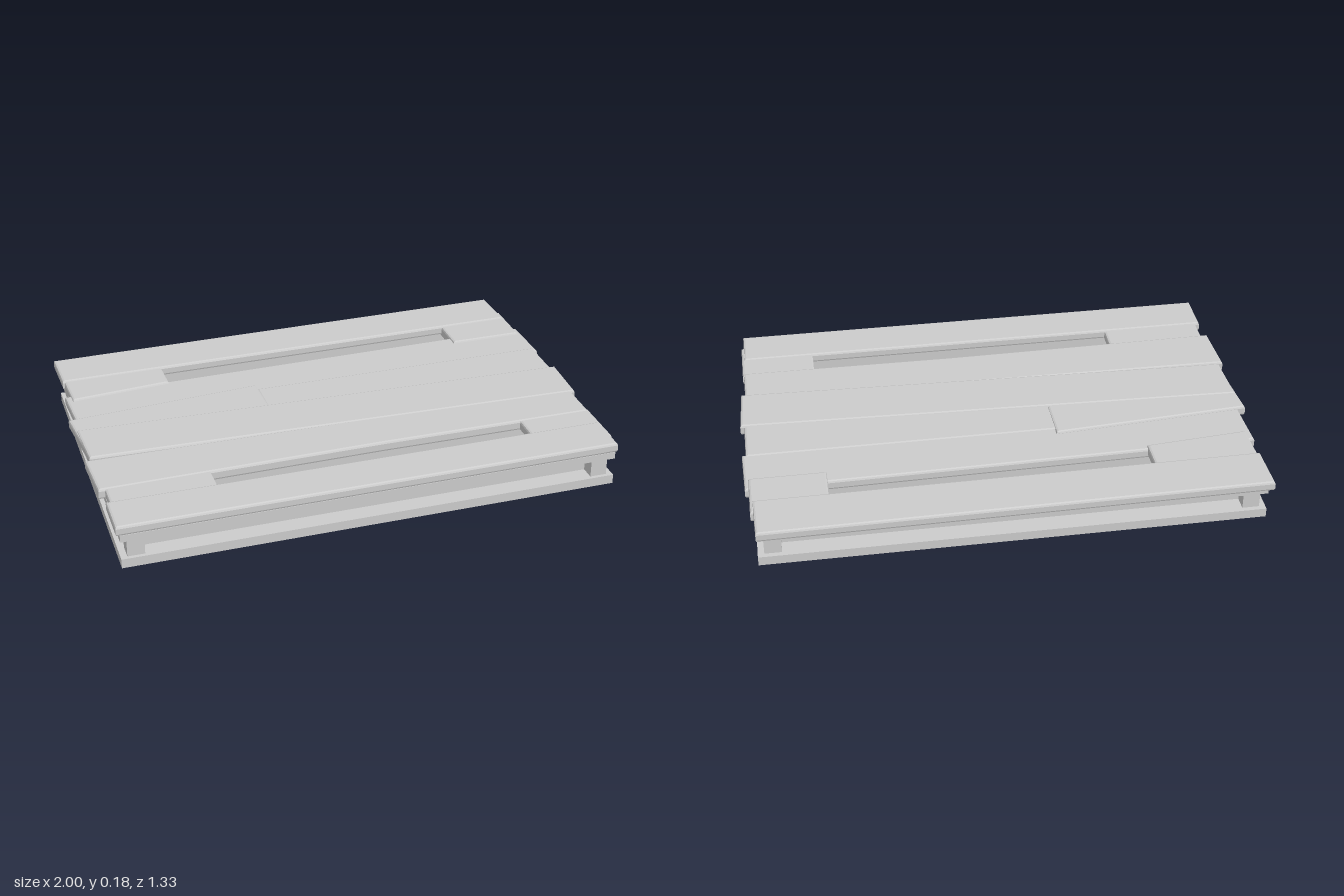
import * as THREE from 'three';

const material = new THREE.MeshStandardMaterial({ color: 0xcccccc });

// Closed outline from [x, z] corners, ready to be extruded upwards
function outline(Type, points) {
  return new Type(points.map(([x, z]) => new THREE.Vector2(x, -z)));
}

const rect = (x0, x1, z0, z1) => [[x0, z1], [x1, z1], [x1, z0], [x0, z0]];

// Extrude an outline between two heights, with an optional chamfer kept inside the outline
function slab(name, points, y0, y1, { holes = [], bevel = 0 } = {}) {
  const shape = outline(THREE.Shape, points);
  shape.holes = holes.map((h) => outline(THREE.Path, h));
  const geometry = new THREE.ExtrudeGeometry(shape, {
    depth: y1 - y0 - 2 * bevel,
    bevelEnabled: bevel > 0,
    bevelThickness: bevel,
    bevelSize: bevel,
    bevelOffset: -bevel,
    bevelSegments: 2,
  });
  geometry.rotateX(-Math.PI / 2);
  geometry.translate(0, y0 + bevel, 0);
  const mesh = new THREE.Mesh(geometry, material);
  mesh.name = name;
  return mesh;
}

export function createModel() {
  const model = new THREE.Group();
  model.name = 'woodenPallet';

  // Frame: base and upper tray around a recessed core, pierced by two long slots
  const holes = [rect(-0.72, 0.73, -0.48, -0.35), rect(-0.72, 0.73, 0.37, 0.495)];
  const frame = new THREE.Group();
  frame.name = 'frame';
  frame.add(
    slab('base', rect(-0.96, 0.96, -0.63, 0.655), 0, 0.037, { holes }),
    slab('core', rect(-0.88, 0.88, -0.555, 0.585), 0.037, 0.11, { holes }),
    slab('upperTray', rect(-0.96, 0.96, -0.63, 0.655), 0.11, 0.138, { holes }),
  );
  model.add(frame);

  // Corner posts
  for (const [side, sx] of [['left', 1], ['right', -1]]) {
    for (const [end, z] of [['Front', 0.61], ['Back', -0.58]]) {
      const post = new THREE.Mesh(new THREE.BoxGeometry(0.065, 0.074, 0.062), material);
      post.position.set(sx * 0.903, 0.0735, z);
      post.name = `${side}${end}Post`;
      model.add(post);
    }
  }

  // Deck planks: corners run front-right, front-left, back-left, back-right
  const planks = [
    ['backPlank', [[-0.97, -0.46], [0.965, -0.47], [0.96, -0.67], [-0.975, -0.655]], 0.14, 0.18],
    ['backRightShortPlank', [[-0.955, -0.305], [-0.555, -0.34], [-0.56, -0.54], [-0.965, -0.51]], 0.13, 0.174],
    ['backLeftShortPlank', rect(0.68, 0.975, -0.535, -0.325), 0.13, 0.174],
    ['innerBackPlank', [[-0.97, -0.135], [0.995, -0.165], [0.99, -0.385], [-0.98, -0.355]], 0.125, 0.166],
    ['brokenPlank', [[-0.98, 0.06], [-0.22, 0.01], [-0.225, -0.21], [-1, -0.15]], 0.134, 0.176],
    ['middleBackPlank', rect(-0.23, 0.98, -0.182, 0.03), 0.13, 0.172],
    ['middlePlank', [[-0.975, 0.165], [0.985, 0.23], [0.995, 0.01], [-0.985, -0.055]], 0.136, 0.18],
    ['innerFrontPlank', [[-0.985, 0.395], [0.12, 0.382], [0.97, 0.388], [0.97, 0.2], [-0.995, 0.175]], 0.134, 0.177],
    ['frontRightShortPlank', rect(-0.96, -0.56, 0.37, 0.585), 0.134, 0.174],
    ['frontLeftShortPlank', rect(0.68, 0.975, 0.37, 0.585), 0.134, 0.174],
    ['frontPlank', rect(-0.975, 0.965, 0.485, 0.662), 0.14, 0.18],
  ];
  const deck = new THREE.Group();
  deck.name = 'deck';
  for (const [name, points, y0, y1] of planks) {
    deck.add(slab(name, points, y0, y1, { bevel: 0.009 }));
  }
  model.add(deck);

  return model;
}
